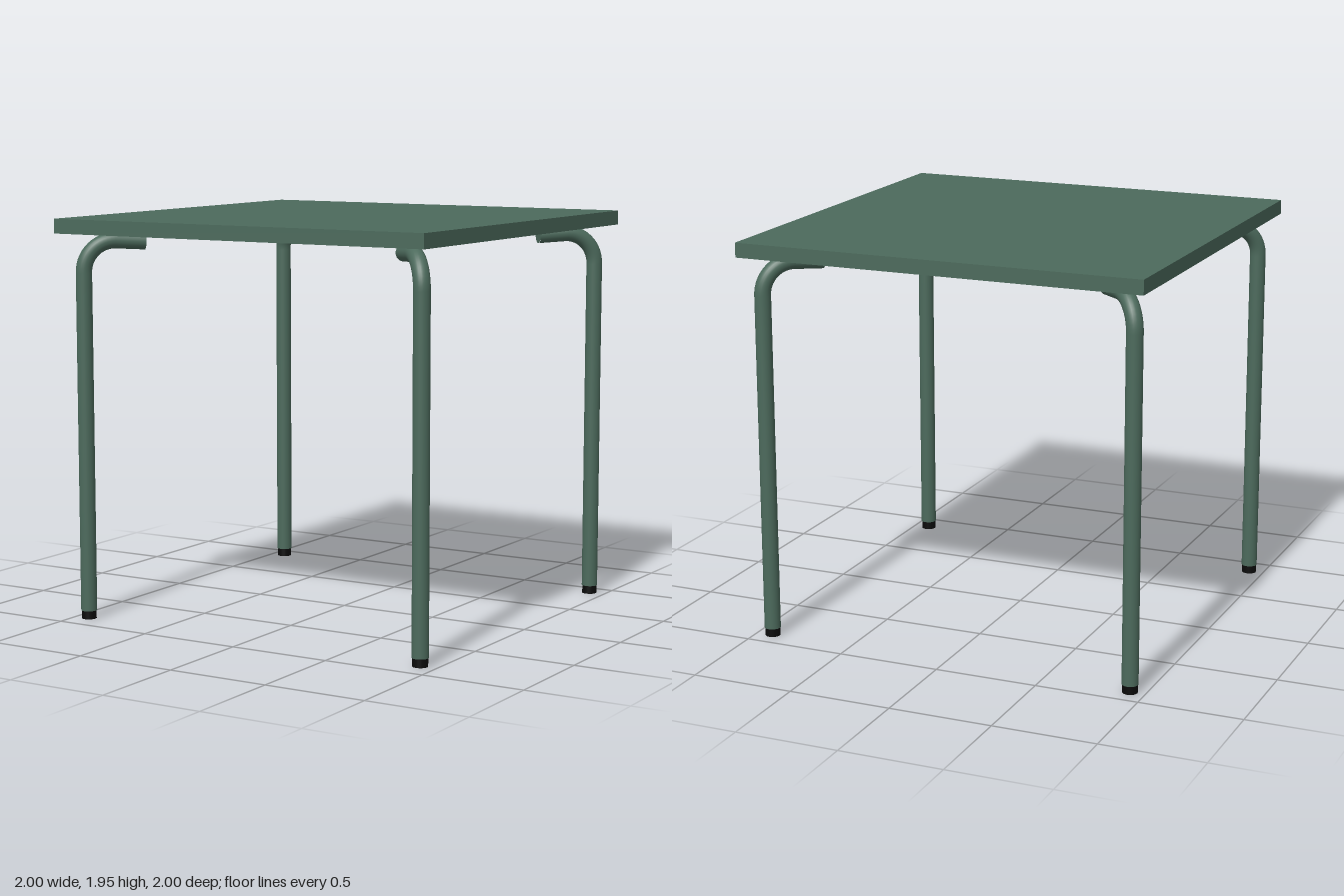
import * as THREE from 'three';

export function createModel() {
  const model = new THREE.Group();
  model.name = 'table';
  const green = new THREE.MeshStandardMaterial({ color: 0x4c6a5c });
  const black = new THREE.MeshStandardMaterial({ color: 0x0a0a0a });

  const add = (parent, name, geometry, material, x = 0, y = 0, z = 0) => {
    const mesh = new THREE.Mesh(geometry, material);
    mesh.name = name;
    mesh.position.set(x, y, z);
    parent.add(mesh);
    return mesh;
  };

  // Square slab top
  add(model, 'tableTop', new THREE.BoxGeometry(2, 0.07, 2), green, 0, 1.91, 0);

  // Leg path in its own plane: upright, rounded bend, arm drooping slightly
  const radius = 0.039, bend = 0.15, armY = 1.836, k = 0.5523;
  const v = (x, y) => new THREE.Vector3(x, y, 0);
  const tip = v(0.297, 1.828);
  const path = new THREE.CurvePath();
  path.add(new THREE.LineCurve3(v(0, 0.04), v(0, armY - bend)));
  path.add(new THREE.CubicBezierCurve3(
    v(0, armY - bend), v(0, armY - bend * (1 - k)), v(bend * (1 - k), armY), v(bend, armY)));
  path.add(new THREE.LineCurve3(v(bend, armY), tip));
  const tube = new THREE.TubeGeometry(path, 110, radius, 24, false);
  const disc = new THREE.CircleGeometry(radius, 24);
  const footShape = new THREE.CylinderGeometry(0.036, 0.036, 0.042, 24);

  // Four legs, each arm turned diagonally towards the middle
  for (const sx of [-1, 1]) {
    for (const sz of [-1, 1]) {
      const leg = new THREE.Group();
      leg.name = (sz > 0 ? 'front' : 'back') + (sx > 0 ? 'Left' : 'Right') + 'Leg';
      leg.position.set(sx > 0 ? 0.918 : -0.926, 0, sz > 0 ? 0.87 : -0.902);
      leg.rotation.y = Math.atan2(sz, -sx);
      add(leg, 'legTube', tube, green);
      add(leg, 'armEndCap', disc, green, tip.x, tip.y).rotation.y = Math.PI / 2;
      add(leg, 'legBottomCap', disc, green, 0, 0.04).rotation.x = Math.PI / 2;
      add(leg, 'foot', footShape, black, 0, 0.021);
      model.add(leg);
    }
  }
  return model;
}
